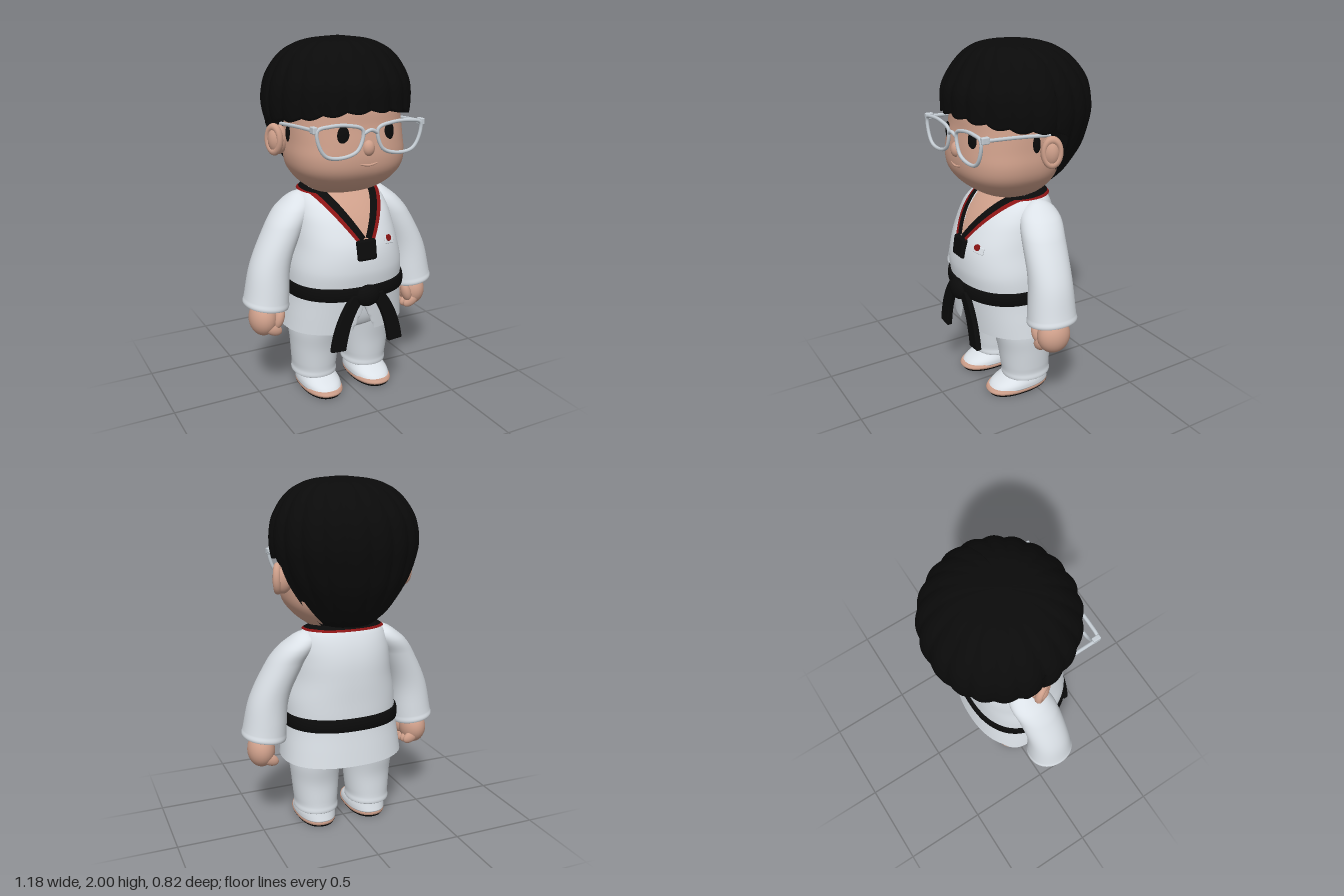
import * as THREE from 'three';
import { RoundedBoxGeometry } from 'three/addons/geometries/RoundedBoxGeometry.js';

const mat = (name, color, side = THREE.FrontSide) => {
  const m = new THREE.MeshStandardMaterial({ color, side });
  m.name = name;
  return m;
};
const lerp = THREE.MathUtils.lerp;

// Regular grid of points turned into a smooth surface, optionally wrapped and capped
function grid(rows, cols, fn, wrap = true, cap = true) {
  const pos = [], idx = [], n = wrap ? cols : cols + 1;
  for (let i = 0; i <= rows; i++) for (let j = 0; j < n; j++) pos.push(...fn(i, j));
  for (let i = 0; i < rows; i++) for (let j = 0; j < cols; j++) {
    const k = (j + 1) % n, a = i * n + j, b = a + n, c = (i + 1) * n + k, d = i * n + k;
    idx.push(a, b, c, a, c, d);
  }
  if (wrap && cap) for (const i of [0, rows]) {
    const m = [0, 0, 0], c = pos.length / 3;
    for (let j = 0; j < n; j++) for (let q = 0; q < 3; q++) m[q] += pos[(i * n + j) * 3 + q] / n;
    pos.push(...m);
    for (let j = 0; j < n; j++) {
      const p = i * n + j, r = i * n + (j + 1) % n;
      i ? idx.push(c, r, p) : idx.push(c, p, r);
    }
  }
  const g = new THREE.BufferGeometry();
  g.setAttribute('position', new THREE.Float32BufferAttribute(pos, 3));
  g.setIndex(idx);
  g.computeVertexNormals();
  return g;
}

// Sections are [y, cx, cz, rx, rz]; this interpolates one smoothly at height y
function sectionAt(S, y) {
  let i = 0;
  while (i < S.length - 2 && y > S[i + 1][0]) i++;
  const h = S[i + 1][0] - S[i][0], t = Math.min(1, Math.max(0, (y - S[i][0]) / h));
  const slope = (k, q) => {
    const a = S[Math.max(0, k - 1)], b = S[Math.min(S.length - 1, k + 1)];
    return (b[q] - a[q]) / (b[0] - a[0]);
  };
  return [1, 2, 3, 4].map(q => {
    const p = S[i][q], r = S[i + 1][q], t2 = t * t, t3 = t2 * t;
    return p * (2 * t3 - 3 * t2 + 1) + r * (3 * t2 - 2 * t3)
      + h * (slope(i, q) * (t3 - 2 * t2 + t) + slope(i + 1, q) * (t3 - t2));
  });
}
// Point on a rounded-square section at angle a (front is a = 90 degrees)
function surf(S, y, a, n = 2.3, off = 0) {
  const [cx, cz, rx, rz] = sectionAt(S, y);
  const pw = c => Math.sign(c) * Math.abs(c) ** (2 / n);
  return [cx + (rx + off) * pw(Math.cos(a)), y, cz + (rz + off) * pw(Math.sin(a))];
}
function loft(S, { n = 2.3, seg = 5, cols = 56, cap = true, fix = p => p } = {}) {
  const ys = [S[0][0]];
  for (let i = 1; i < S.length; i++)
    for (let k = 1; k <= seg; k++) ys.push(lerp(S[i - 1][0], S[i][0], k / seg));
  return grid(ys.length - 1, cols, (i, j) => fix(surf(S, ys[i], j / cols * Math.PI * 2, n)), true, cap);
}

const HEAD = [[1.165, 0, .06, .05, .05], [1.18, 0, .06, .15, .125], [1.21, 0, .068, .21, .185], [1.26, 0, .078, .268, .24],
  [1.32, 0, .085, .31, .275], [1.39, 0, .085, .325, .287], [1.47, 0, .075, .32, .29], [1.56, 0, .065, .315, .285],
  [1.65, 0, .05, .305, .29], [1.8, 0, .03, .28, .25], [1.9, 0, .02, .1, .1]];
const TORSO = [[.58, 0, .075, .325, .27], [.68, 0, .08, .33, .28], [.78, 0, .085, .325, .285], [.9, 0, .077, .3, .277],
  [1, 0, .057, .285, .252], [1.08, 0, .037, .27, .217], [1.15, 0, .012, .24, .167], [1.19, 0, -.015, .19, .115], [1.21, 0, -.03, .12, .07]];
const HAIR = [[1.2, 0, 0, .15, .17], [1.28, 0, 0, .23, .27], [1.36, 0, 0, .29, .325], [1.45, 0, 0, .345, .37], [1.55, 0, 0, .385, .392],
  [1.65, 0, -.005, .405, .4], [1.75, 0, 0, .397, .392], [1.82, 0, 0, .372, .362], [1.9, 0, .005, .318, .3],
  [1.95, 0, .01, .25, .24], [1.985, 0, .02, .15, .15], [2, 0, .02, .015, .015]];

export function createModel() {
  const skin = mat('skin', 0xcfa08b), suit = mat('suit white', 0xdbe1e7, THREE.DoubleSide);
  const black = mat('black cloth', 0x0b0b0b, THREE.DoubleSide), red = mat('red trim', 0x8c1414, THREE.DoubleSide);
  const hairMat = mat('hair black', 0x0a0a0a, THREE.DoubleSide), frame = mat('glasses grey', 0xc6ced5);
  const root = new THREE.Group();
  const add = (name, geo, m, x = 0, y = 0, z = 0) => {
    const o = new THREE.Mesh(geo, m);
    o.name = name;
    o.position.set(x, y, z);
    root.add(o);
    return o;
  };
  const blob = (name, m, x, y, z, a, b, c) => {
    const o = add(name, new THREE.SphereGeometry(1, 28, 20), m, x, y, z);
    o.scale.set(a, b, c);
    return o;
  };
  const tube = (name, m, pts, r, closed = false) => add(name, new THREE.TubeGeometry(
    new THREE.CatmullRomCurve3(pts.map(p => new THREE.Vector3(...p)), closed), 64, r, 8, closed), m);
  const mirrorX = (S, s) => S.map(([y, cx, ...r]) => [y, cx * s, ...r]);

  // Head and face
  add('head', loft(HEAD, { n: 2.4 }), skin);
  add('neck', new THREE.CylinderGeometry(.13, .13, .14, 32), skin, 0, 1.17, 0);
  blob('nose', skin, 0, 1.45, .362, .034, .042, .03);
  tube('mouth', skin, [[-.05, 1.37, .366], [0, 1.362, .371], [.05, 1.37, .366]], .006);

  // Bowl-cut hair: lobed shell with a short fringe and a long back
  const rows = 44, cols = 240;
  add('hair', grid(rows, cols, (i, j) => {
    const a = j / cols * Math.PI * 2, sn = Math.sin(a);
    const lobe = Math.abs(Math.sin(10 * a));
    const edge = sn < -.005 ? 1.21 : 1.585 + .06 * sn * sn - .014 * lobe;
    const t = Math.max(0, i - 1) / (rows - 1);
    let y = lerp(edge, 2, Math.sin(t * Math.PI / 2));
    const p = surf(HAIR, y, a + .2 * t ** 3, 2.05);
    const k = (.975 + .035 * lobe) * (i ? 1 : .5);
    let z = p[2] * k;
    if (!i) y += .01;
    if (sn < -.005 && y < 1.56) z = Math.min(z, -.085);
    return [p[0] * k, y, z];
  }, true, true), hairMat);

  // Jacket body, with the chest left bare inside the neckline
  const body = loft(TORSO, { seg: 8, cols: 112 });
  const P = body.attributes.position, I = body.index.array, cloth = [], bare = [];
  for (let i = 0; i < I.length; i += 3) {
    const f = [I[i], I[i + 1], I[i + 2]];
    const mean = g => f.reduce((s, v) => s + g.call(P, v) / 3, 0);
    const x = mean(P.getX), y = mean(P.getY), z = mean(P.getZ);
    (y > 1.2 || (z > 0 && y > .95 && Math.abs(x) < .025 + .52 * (y - .95)) ? bare : cloth).push(...f);
  }
  body.setIndex([...cloth, ...bare]);
  body.addGroup(0, cloth.length, 0);
  body.addGroup(cloth.length, bare.length, 1);
  add('jacketBody', body, [suit, skin]);

  // Jacket skirt with a front notch
  add('jacketSkirt', loft([[.415, 0, .05, .36, .28], [.5, 0, .06, .35, .28], [.6, 0, .072, .337, .28], [.68, 0, .08, .331, .281]], {
    cols: 120, cap: false, seg: 8,
    fix: ([x, y, z]) => [x, z > 0 ? Math.max(y, .57 - Math.abs(x) * 2.2) : y, z],
  }), suit);

  // Two-tone collar following the jacket surface; k runs from outer to inner edge
  const collarPoint = (s, u, k) => {
    const y1 = lerp(1.165, 1.172, k), x1 = lerp(.2, .12, k), v = Math.min(1, u / .6);
    const ang = (x, y) => Math.acos(Math.min(1, x / sectionAt(TORSO, y)[2]) ** 1.15);
    let y = lerp(lerp(.935, .955, k), y1, v), a = ang(lerp(lerp(.05, 0, k), x1, v), y);
    if (u > .6) {
      const w = (u - .6) / .4;
      a = lerp(ang(x1, y1), -Math.PI / 2, w);
      y = lerp(y1, lerp(1.172, 1.205, k), Math.min(1, w * 2));
    }
    const p = surf(TORSO, y, a, 2.3, .012);
    return [p[0] * s, p[1] + .008, p[2]];
  };
  for (const s of [-1, 1]) {
    const strip = (k0, k1) => grid(50, 4, (i, j) => collarPoint(s, i / 50, lerp(k0, k1, j / 4)), false);
    add('collarRedTrim', strip(0, .36), red);
    add('collarBlackBand', strip(.36, 1), black);
  }
  add('collarTab', new RoundedBoxGeometry(.115, .115, .035, 3, .015), black, 0, .897, .355).rotation.x = -.15;

  // Chest patch and red dot
  const patch = add('chestPatch', new RoundedBoxGeometry(.07, .04, .009, 2, .004), suit, .157, .922, .326);
  const dot = add('chestDot', new THREE.CylinderGeometry(.018, .018, .009, 20).rotateX(Math.PI / 2), red, .15, .936, .331);
  for (const o of [patch, dot]) o.rotation.set(-.3, .38, 0);

  // Belt and knot
  add('belt', loft([[.615, 0, .078, .325, .272], [.622, 0, .078, .343, .295], [.688, 0, .08, .341, .294], [.695, 0, .08, .322, .272]], { cols: 80 }), black);
  blob('beltKnot', black, 0, .642, .375, .072, .06, .04);

  // Trousers top
  add('hips', loft([[.385, 0, .045, .1, .12], [.395, 0, .045, .2, .17], [.43, 0, .05, .29, .21], [.52, 0, .055, .31, .23], [.62, 0, .06, .29, .23]]), suit);

  // Bridge of the glasses
  tube('glassesBridge', frame, [[-.042, 1.53, .382], [0, 1.548, .388], [.042, 1.53, .382]], .01);

  for (const s of [-1, 1]) {
    // Face sides
    blob('eye', black, s * .135, 1.522, .34, .032, .048, .011).rotation.y = s * .2;
    blob('ear', skin, s * .35, 1.467, .005, .055, .08, .05);
    const rim = add('earRim', new THREE.TorusGeometry(.058, .02, 12, 32), skin, s * .375, 1.47, .01);
    rim.rotation.y = s * (Math.PI / 2 - .45);
    rim.scale.set(.75, 1.12, 1);
    blob('sideburn', hairMat, s * .314, 1.505, .066, .015, .048, .024);

    // Glasses
    tube('glassesRim', frame, [[.045, 1.55], [.13, 1.578], [.235, 1.58], [.3, 1.565], [.293, 1.49], [.25, 1.43], [.15, 1.418], [.07, 1.45]]
      .map(([x, y]) => [s * x, y, .382]), .01, true);
    tube('glassesTemple', frame, [[s * .317, 1.566, .365], [s * .319, 1.56, .2], [s * .326, 1.548, -.01]], .01);
    add('glassesHinge', new RoundedBoxGeometry(.026, .036, .045, 2, .006), frame, s * .313, 1.567, .365);

    // Sleeve with a slanted cuff
    add('sleeve', loft(mirrorX([[.553, .466, .055, .095, .105], [.56, .467, .055, .122, .136], [.6, .462, .055, .122, .134], [.8, .43, .048, .11, .12],
      [1, .335, .03, .105, .12], [1.08, .28, .012, .1, .115], [1.13, .242, .002, .078, .09], [1.16, .235, 0, .042, .05], [1.174, .23, 0, .012, .015]], s), {
      n: 2.1, fix: ([x, y, z]) => [x, y + (Math.abs(x) - .465) * .15 * Math.max(0, 1 - (y - .55) / .3), z],
    }), suit);

    // Hand with curled fingers and a thumb
    blob('hand', skin, s * .485, .485, .055, .078, .1, .095);
    for (let i = 0; i < 4; i++)
      blob('finger', skin, s * .45, .425 + .006 * Math.abs(i - 1), .118 - i * .04, .055, .034, .025).rotation.z = s * .5;
    blob('thumb', skin, s * .415, .49, .115, .03, .062, .034).rotation.z = s * .3;

    // Belt tail
    const tail = new THREE.Shape();
    tail.moveTo(s * .02, .64);
    tail.quadraticCurveTo(s * .11, .55, s * .14, .35);
    tail.lineTo(s * .215, .355);
    tail.quadraticCurveTo(s * .19, .53, s * .09, .65);
    add('beltTail', new THREE.ExtrudeGeometry(tail, { depth: .022, bevelSize: .005, bevelThickness: .005, bevelSegments: 2, curveSegments: 10 }), black, 0, 0, .358);

    // Trouser leg
    add('trouserLeg', loft(mirrorX([[.085, .165, .03, .113, .128], [.095, .165, .03, .127, .143], [.13, .165, .032, .124, .143], [.17, .165, .035, .128, .146],
      [.28, .165, .042, .137, .157], [.4, .165, .045, .145, .185], [.5, .15, .05, .14, .2]], s), { n: 2.1 }), suit);

    // Shoe in three layers
    add('shoeSole', loft(mirrorX([[0, .16, .085, .1, .18], [.014, .16, .085, .11, .19]], s)), black);
    add('shoeRim', loft(mirrorX([[.012, .16, .085, .108, .188], [.025, .16, .087, .113, .194], [.042, .16, .085, .108, .187]], s)), skin);
    add('shoeUpper', loft(mirrorX([[.034, .16, .08, .112, .187], [.06, .16, .07, .11, .17], [.09, .16, .045, .1, .138],
      [.115, .16, .025, .096, .115], [.15, .16, .02, .09, .1]], s)), suit);
  }
  return root;
}
